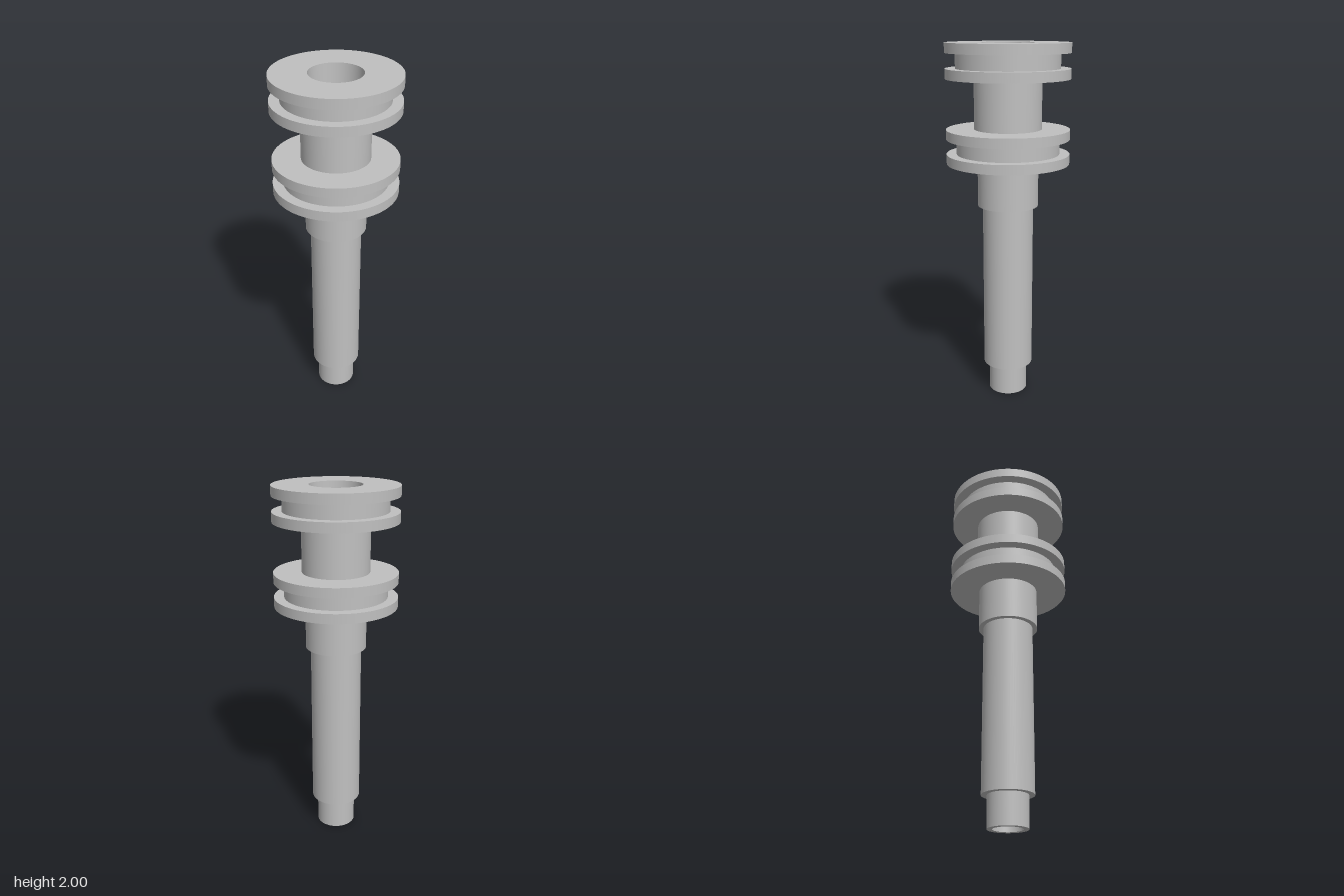
import * as THREE from 'three';
import { mergeGeometries } from 'three/addons/utils/BufferGeometryUtils.js';

const SEGMENTS = 96;

// Revolve a profile with every corner kept sharp: one smooth strip per edge.
function revolve(points) {
  const strips = [];
  for (let i = 0; i < points.length - 1; i++) {
    const edge = [points[i], points[i + 1]].map(([r, y]) => new THREE.Vector2(r, y));
    strips.push(new THREE.LatheGeometry(edge, SEGMENTS));
  }
  return mergeGeometries(strips);
}

export function createModel() {
  const group = new THREE.Group();
  group.name = 'spool';
  const metal = new THREE.MeshStandardMaterial({ color: 0xc0c0c0 });
  metal.name = 'grey metal';

  const add = (name, points) => {
    const mesh = new THREE.Mesh(revolve(points), metal);
    mesh.name = name;
    group.add(mesh);
  };

  const flange = 0.335, groove = 0.28, neck = 0.183, collar = 0.167, shaft = 0.14, tip = 0.109;
  const boreTop = 0.14, boreBottom = 0.08;

  // Double flange with a ring groove, from the radius below to the radius above
  const addPiston = (name, y, below, above) => add(name, [
    [below, y], [flange, y], [flange, y + 0.053], [groove, y + 0.053],
    [groove, y + 0.133], [flange, y + 0.133], [flange, y + 0.186], [above, y + 0.186],
  ]);

  // Stepped shaft, bottom to top
  add('tip', [[boreBottom, 0], [tip, 0], [tip, 0.172]]);
  add('shaft', [[tip, 0.172], [shaft, 0.172], [shaft, 1.123]]);
  add('collar', [[shaft, 1.123], [collar, 1.123], [collar, 1.361]]);
  addPiston('lowerPiston', 1.361, collar, neck);
  add('neck', [[neck, 1.547], [neck, 1.814]]);
  addPiston('upperPiston', 1.814, neck, boreTop);

  // Tapered through hole
  add('bore', [[boreTop, 2], [boreBottom, 0]]);
  return group;
}
